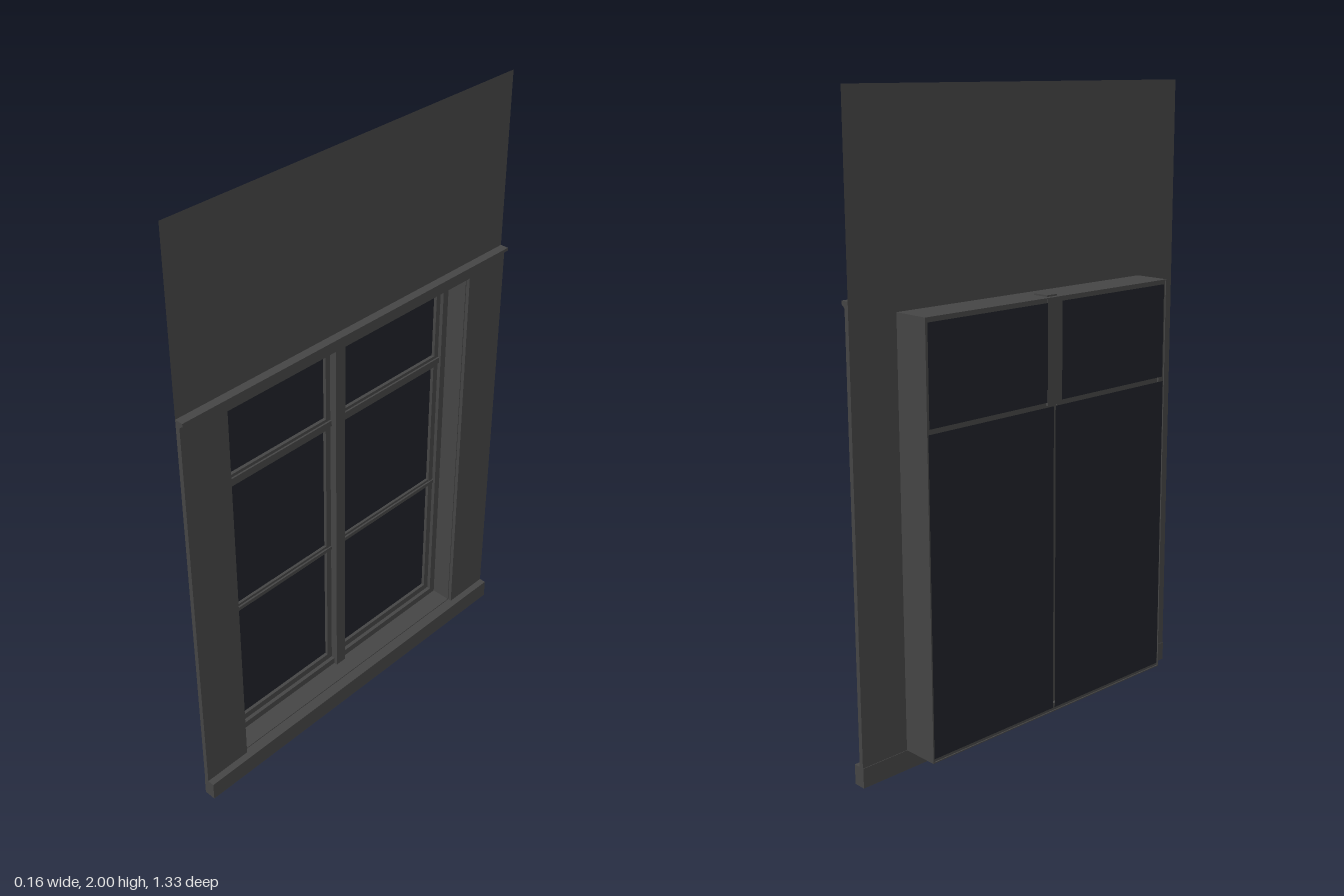
import * as THREE from 'three';

const frameMat = new THREE.MeshStandardMaterial({ color: 0x444444, side: THREE.DoubleSide });
const glassMat = new THREE.MeshStandardMaterial({ color: 0x1f2027, side: THREE.DoubleSide });

export function createModel() {
  const model = new THREE.Group();
  model.name = 'windowWithWall';

  const add = (name, geometry, material = frameMat) => {
    const mesh = new THREE.Mesh(geometry, material);
    mesh.name = name;
    model.add(mesh);
    return mesh;
  };
  // Box given by its limits on each axis
  const box = (name, [x0, x1], [y0, y1], [z0, z1], material) => {
    const g = new THREE.BoxGeometry(x1 - x0, y1 - y0, Math.abs(z1 - z0));
    g.translate((x0 + x1) / 2, (y0 + y1) / 2, (z0 + z1) / 2);
    return add(name, g, material);
  };
  // Flat vertical sheet facing along x
  const sheet = (name, x, [y0, y1], [z0, z1], material) => {
    const g = new THREE.PlaneGeometry(Math.abs(z1 - z0), y1 - y0);
    g.rotateY(Math.PI / 2).translate(x, (y0 + y1) / 2, (z0 + z1) / 2);
    return add(name, g, material);
  };
  // Rectangular ring of a given border width, extruded along x
  const ring = (name, [x0, x1], [y0, y1], [z0, z1], border) => {
    const w = Math.abs(z1 - z0) / 2, h = (y1 - y0) / 2;
    const corners = (a, b) => [[-a, -b], [a, -b], [a, b], [-a, b]].map(p => new THREE.Vector2(...p));
    const shape = new THREE.Shape(corners(w, h));
    shape.holes.push(new THREE.Path(corners(w - border, h - border).reverse()));
    const g = new THREE.ExtrudeGeometry(shape, { depth: x1 - x0, bevelEnabled: false });
    g.rotateY(Math.PI / 2).translate(x0, (y0 + y1) / 2, (z0 + z1) / 2);
    return add(name, g);
  };

  // Wall panel above the opening
  sheet('upperWall', 0.042, [1.385, 2], [-0.665, 0.665]);

  // Casings either side, and the sill
  for (const s of [1, -1]) box('sideCasing', [0.042, 0.057], [0.06, 1.4], [s * 0.5, s * 0.665]);
  box('sill', [0.04, 0.08], [0, 0.063], [-0.665, 0.665]);

  // Moulded cornice
  const profile = [[0.042, 1.385], [0.057, 1.385], [0.057, 1.412], [0.063, 1.418], [0.07, 1.423], [0.07, 1.433], [0.042, 1.433]];
  const cornice = new THREE.ExtrudeGeometry(
    new THREE.Shape(profile.map(p => new THREE.Vector2(...p))), { depth: 1.33, bevelEnabled: false });
  add('cornice', cornice.translate(0, 0, -0.665));

  // Thin reveal lining around the opening
  ring('revealLining', [-0.08, 0.045], [0.063, 1.385], [-0.5, 0.5], 0.003);

  // Fixed frame, mullion and transom
  ring('fixedFrame', [-0.076, -0.022], [0.065, 1.383], [-0.498, 0.498], 0.024);
  box('mullion', [-0.065, -0.01], [0.065, 1.39], [-0.02, 0.02]);
  box('transom', [-0.06, -0.028], [1.054, 1.074], [-0.5, 0.506]);
  box('upperMullionBack', [-0.079, -0.06], [1.06, 1.383], [-0.03, 0.03]);

  // Two lower leaves with a glazing bar, two upper lights
  for (const s of [1, -1]) {
    const leaf = [s * 0.018, s * 0.476];
    ring('lowerSash', [-0.07, -0.034], [0.09, 1.064], leaf, 0.022);
    ring('upperSash', [-0.07, -0.034], [1.064, 1.362], leaf, 0.02);
    box('glazingBar', [-0.06, -0.036], [0.56, 0.588], leaf);
    box('glazingBarRib', [-0.037, -0.03], [0.568, 0.58], leaf);

    // Panes as seen from outside
    sheet('lowerPane', -0.045, [0.1, 1.06], [s * 0.03, s * 0.465], glassMat);
    sheet('upperPane', -0.045, [1.07, 1.355], [s * 0.03, s * 0.465], glassMat);

    // Inner panes covering the back
    sheet('lowerInnerPane', -0.078, [0.075, 1.055], [s * 0.004, s * 0.494], glassMat);
    sheet('upperInnerPane', -0.078, [1.07, 1.37], [s * 0.03, s * 0.49], glassMat);
  }

  return model;
}
